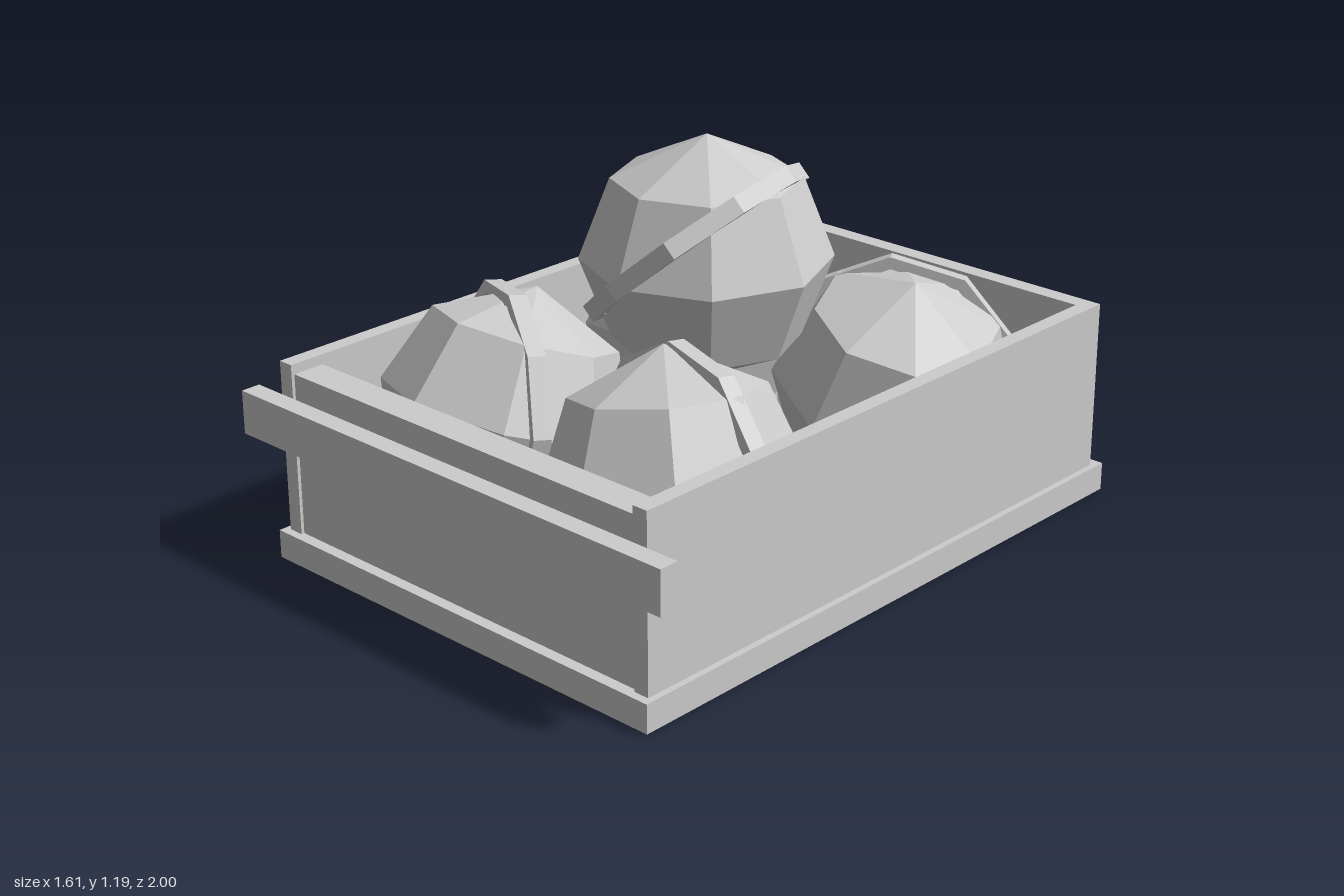
import * as THREE from 'three';

// Double-sided because the base is an open shell
const grey = new THREE.MeshStandardMaterial({ color: 0xcccccc, side: THREE.DoubleSide });
grey.name = 'plain grey';

// Faceted normals for low-poly parts
function faceted(geometry) {
  const g = geometry.toNonIndexed();
  g.computeVertexNormals();
  return g;
}

// Box given by its extents on each axis
function slab(name, [x0, x1], [y0, y1], [z0, z1]) {
  const mesh = new THREE.Mesh(new THREE.BoxGeometry(x1 - x0, y1 - y0, z1 - z0), grey);
  mesh.position.set((x0 + x1) / 2, (y0 + y1) / 2, (z0 + z1) / 2);
  mesh.name = name;
  return mesh;
}

const profile = (pts) => pts.map(([r, y]) => new THREE.Vector2(r, y));

// Eight-sided ball with a pole on y
const ballGeometry = faceted(new THREE.LatheGeometry(
  profile([[0, -0.36], [0.27, -0.235], [0.36, 0], [0.27, 0.235], [0, 0.36]]), 8));

// Narrow raised band running round a ball
const bandGeometry = faceted(new THREE.LatheGeometry(
  profile([[0.33, -0.026], [0.366, -0.026], [0.366, 0.026], [0.33, 0.026], [0.33, -0.026]]), 10));

const up = new THREE.Vector3(0, 1, 0);
const turnTo = (mesh, dir) =>
  mesh.quaternion.setFromUnitVectors(up, new THREE.Vector3(...dir).normalize());

function bandedBall({ name, at, pole, axis, shift }) {
  const group = new THREE.Group();
  group.name = name;
  group.position.set(...at);
  const ball = new THREE.Mesh(ballGeometry, grey);
  ball.name = 'ball';
  turnTo(ball, pole);
  const band = new THREE.Mesh(bandGeometry, grey);
  band.name = 'band';
  turnTo(band, axis);
  band.position.set(...axis).normalize().multiplyScalar(shift);
  group.add(ball, band);
  return group;
}

export function createModel() {
  const model = new THREE.Group();
  model.name = 'crateOfBalls';

  // Hollow base: a box without its underside, whose top is the crate floor
  const base = slab('base', [-0.722, 0.722], [0, 0.085], [-1, 0.965]);
  const sides = Array.from(base.geometry.index.array);
  sides.splice(18, 6);
  base.geometry.setIndex(sides);
  base.geometry.clearGroups();

  // Crate walls and front rail
  model.add(
    base,
    slab('backWall', [-0.7, 0.7], [0.085, 0.6], [-0.965, -0.91]),
    slab('frontWall', [-0.66, 0.66], [0.085, 0.57], [0.83, 0.93]),
    slab('frontRail', [-0.805, 0.805], [0.37, 0.5], [0.94, 1]),
    slab('leftWall', [0.655, 0.703], [0.085, 0.6], [-0.965, 0.94]),
    slab('rightWall', [-0.703, -0.655], [0.085, 0.6], [-0.965, 0.94]),
  );

  // Four balls in the crate and one on top
  const balls = [
    { name: 'topBall', at: [0.017, 0.83, -0.015], pole: [0, 1, 0], axis: [-0.64, 0.77, 0.14], shift: 0.05 },
    { name: 'frontRightBall', at: [-0.315, 0.42, 0.46], pole: [0.05, 1, -0.35], axis: [-0.44, 0.1, 0.9], shift: 0.01 },
    { name: 'frontLeftBall', at: [0.315, 0.4, 0.435], pole: [-0.2, 1, -0.1], axis: [-0.18, 0.1, 0.98], shift: -0.02 },
    { name: 'backRightBall', at: [-0.325, 0.39, -0.37], pole: [-0.08, 1, -0.3], axis: [0.2, 0.75, 0.6], shift: 0 },
    { name: 'backLeftBall', at: [0.315, 0.39, -0.495], pole: [0.3, 1, 0.12], axis: [0.53, 0.1, 0.85], shift: -0.05 },
  ];
  balls.forEach((b) => model.add(bandedBall(b)));
  return model;
}
